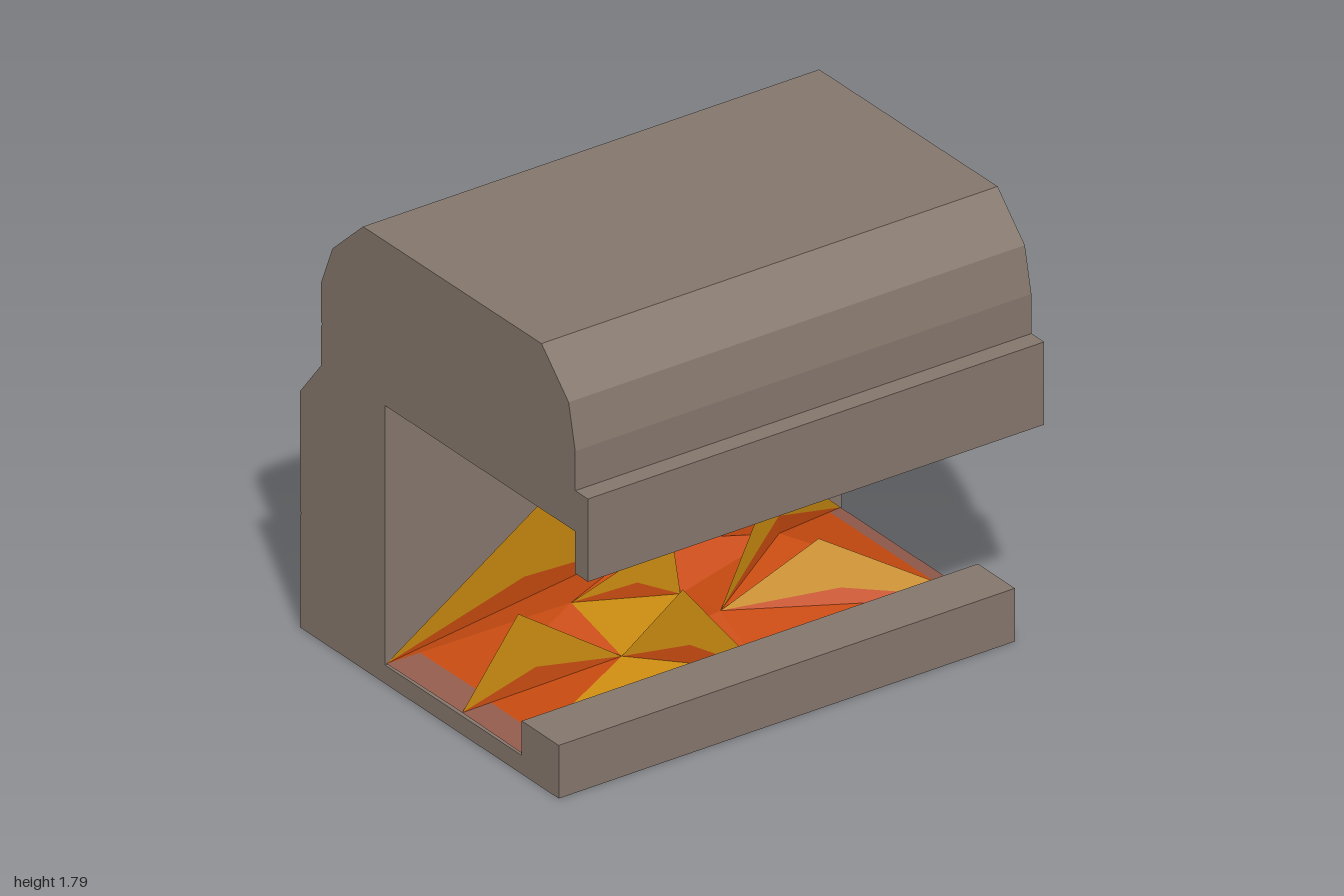
import * as THREE from 'three';

const mat = (name, color) => {
  const m = new THREE.MeshStandardMaterial({ color, flatShading: true, side: THREE.DoubleSide });
  m.name = name;
  return m;
};

export function createModel() {
  const group = new THREE.Group();
  const stone = mat('stone', 0x84766c);
  const yellow = mat('flameYellow', 0xc88a10);
  const ember = mat('emberOrange', 0xc64a10);
  const ash = mat('warmAsh', 0x935c4c);
  const V = (x, y, z) => new THREE.Vector3(x, y, z);
  const mix = (a, b, t) => a.clone().lerp(b, t);

  const triangles = (name, list, material) => {
    const geometry = new THREE.BufferGeometry().setFromPoints(list.flat());
    geometry.computeVertexNormals();
    const mesh = new THREE.Mesh(geometry, material);
    mesh.name = name;
    group.add(mesh);
  };

  // Stone hearth: one side profile (z, y) swept across the width
  const profile = [
    [0.70, 0], [0.70, 0.215], [0.475, 0.215], [0.475, 0.075], [-0.355, 0.075],
    [-0.355, 1.125], [0.80, 1.125], [0.80, 0.955], [0.877, 0.955], [0.877, 1.29],
    [0.80, 1.29], [0.80, 1.45], [0.76, 1.63], [0.595, 1.795], [-0.49, 1.79],
    [-0.675, 1.62], [-0.745, 1.45], [-0.745, 1.295], [-0.737, 1.285], [-0.745, 1.275],
    [-0.745, 1.115], [-0.873, 0.955], [-0.873, 0.475], [-0.865, 0.465], [-0.873, 0.455],
    [-0.873, 0],
  ];
  const shape = new THREE.Shape(profile.map(([z, y]) => new THREE.Vector2(-z, y)));
  const body = new THREE.ExtrudeGeometry(shape, { depth: 2, bevelEnabled: false });
  body.translate(0, 0, -1).rotateY(Math.PI / 2);
  const hearth = new THREE.Mesh(body, stone);
  hearth.name = 'stoneHearth';
  group.add(hearth);

  // Corner and inner points of the ember bed
  const FL = V(-0.995, 0.08, 0.47), FM = V(0.06, 0.08, 0.47), FR = V(0.995, 0.08, 0.47);
  const BL = V(-0.995, 0.08, -0.353), BR = V(0.995, 0.08, -0.353), J = V(-0.99, 0.08, 0.1);
  const K = V(-0.37, 0.16, 0.21), H = V(0.07, 0.2, 0.2), L = V(0.06, 0.17, -0.03);
  const P = V(0.5, 0.27, -0.04), Q = V(-0.39, 0.26, -0.07), M = V(0.1, 0.27, -0.27);

  const embers = [
    [K, H, FM], [H, FR, FM], [H, P, FR], [P, BR, M], [H, L, P], [L, M, P],
    [L, Q, M], [Q, BL, M], [J, Q, K], [K, L, H],
  ];
  const glow = [[K, Q, L]];
  const rim = [];

  // Bed triangles along the walls get a strip of ash on their outer edge
  const edged = (a, b, c, inner, t = 0.18) => {
    const a2 = mix(a, c, t), b2 = mix(b, c, t);
    rim.push([a, b, b2], [a, b2, a2]);
    inner.push([a2, b2, c]);
  };
  edged(FR, BR, P, embers);
  edged(FL, J, K, embers);
  edged(J, BL, Q, embers);
  edged(BL, BR, M, embers);
  edged(FM, FL, K, glow);
  triangles('emberBed', embers, ember);
  triangles('glowingEmbers', glow, yellow);
  triangles('ashRim', rim, ash);

  // Flames: folded sheets, ember coloured at the foot and yellow above
  const flames = [
    { name: 'rightFlame', left: H, foot: P, right: BR, tip: V(0.5, 0.55, -0.045) },
    { name: 'rightFrontFlame', left: H, right: FR, tip: V(0.5, 0.355, 0.2) },
    { name: 'leftFlame', left: J, right: K, tip: V(-0.77, 0.425, 0.135) },
    { name: 'frontFlame', left: K, right: FM, tip: V(-0.2, 0.435, 0.345) },
    { name: 'middleFlame', left: Q, right: L, tip: V(0.03, 0.41, -0.04) },
    { name: 'backFlame', left: BL, right: M, tip: V(-0.375, 0.575, -0.27) },
    { name: 'backRightFlame', left: M, right: BR, tip: V(0.285, 0.4, -0.23) },
  ];
  for (const { name, left, right, tip, foot = mix(left, right, 0.5) } of flames) {
    const band = mix(foot, tip, 0.25);
    triangles(name + 'Foot', [[left, foot, band], [foot, right, band]], ember);
    triangles(name, [[left, band, tip], [band, right, tip]], yellow);
  }

  return group;
}
